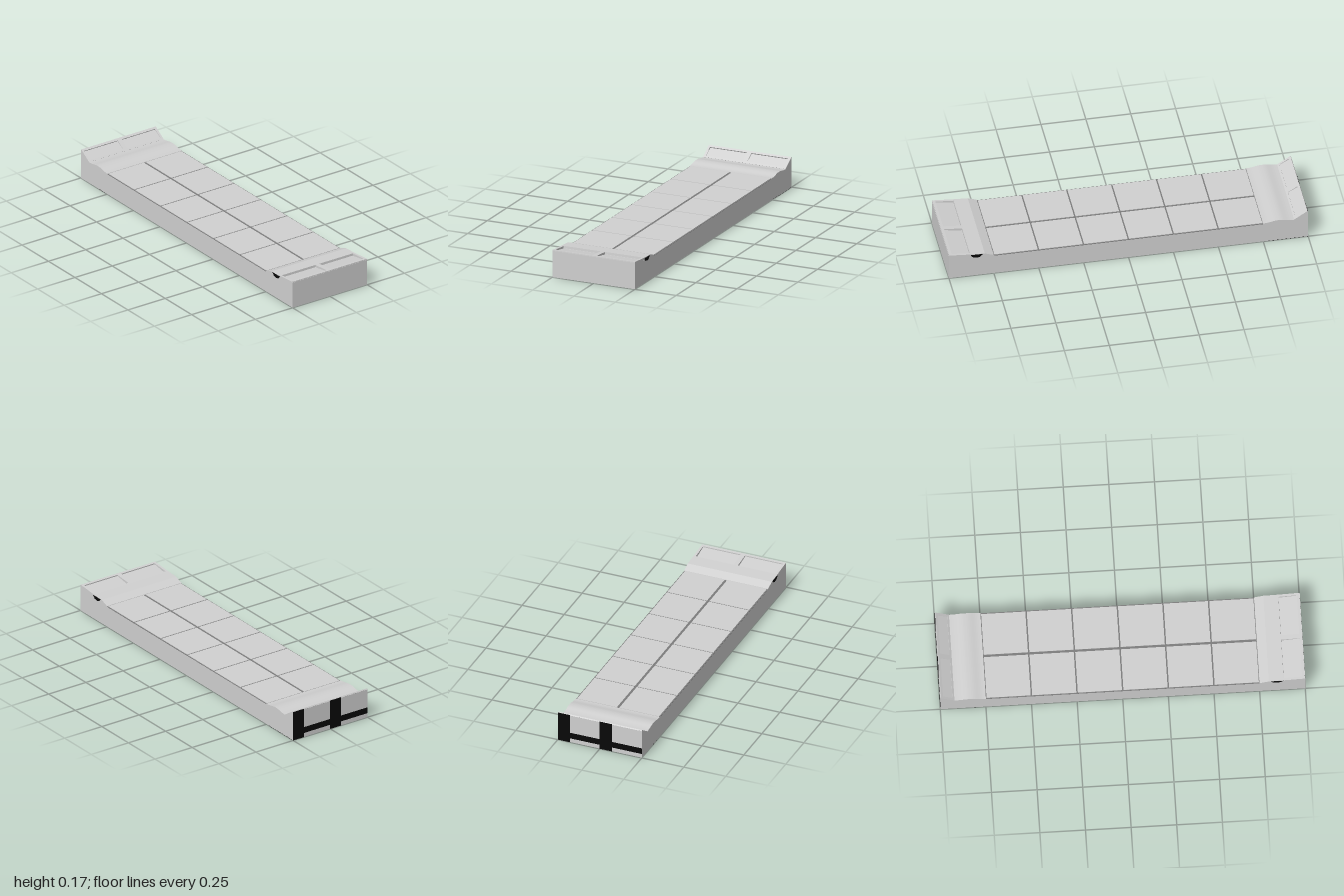
import * as THREE from 'three';

const HALF = 0.25;

export function createModel() {
  const group = new THREE.Group();
  const mat = (name, color) => {
    const m = new THREE.MeshStandardMaterial({ color });
    m.name = name;
    return m;
  };
  const grey = mat('light grey', 0xd0d0d0);
  const seam = mat('seam grey', 0x7c7c7c);
  const black = mat('black', 0x080808);

  const add = (name, geometry, material) => {
    const mesh = new THREE.Mesh(geometry, material);
    mesh.name = name;
    group.add(mesh);
    return mesh;
  };
  // box given by its limits on each axis
  const block = (name, x0, x1, y0, y1, z0, z1, material) => {
    const mesh = add(name, new THREE.BoxGeometry(x1 - x0, y1 - y0, z1 - z0), material);
    mesh.position.set((x0 + x1) / 2, (y0 + y1) / 2, (z0 + z1) / 2);
    return mesh;
  };

  // long body: side profile in (z, y) swept across the width
  const profile = new THREE.Shape();
  profile.moveTo(-0.999, 0.001);
  profile.lineTo(1, 0.001);
  profile.lineTo(1, 0.152);
  profile.lineTo(0.885, 0.134);
  profile.lineTo(0.876, 0.134);
  profile.lineTo(0.875, 0.147);
  profile.lineTo(0.8, 0.143);
  profile.lineTo(0.75, 0.125);
  profile.lineTo(0.749, 0.121);
  profile.lineTo(-0.749, 0.121);
  profile.lineTo(-0.75, 0.125);
  profile.bezierCurveTo(-0.79, 0.125, -0.8, 0.136, -0.84, 0.136);
  profile.bezierCurveTo(-0.87, 0.136, -0.88, 0.127, -0.922, 0.126);
  profile.lineTo(-0.999, 0.168);
  profile.closePath();
  const body = new THREE.ExtrudeGeometry(profile, { depth: 2 * HALF, bevelEnabled: false, curveSegments: 10 });
  body.rotateY(-Math.PI / 2).translate(HALF, 0, 0);
  add('body', body, grey);

  // deck tiles above a dark seam floor
  block('seamFloor', -HALF, HALF, 0.12, 0.122, -0.749, 0.749, seam);
  for (let i = 0; i < 6; i++) {
    const z = -0.75 + i * 0.25;
    for (const side of [-1, 1]) {
      const tile = block('deckTile', 0.007, 0.244, 0.12, 0.125, z + 0.004, z + 0.246, grey);
      tile.position.x *= side;
    }
  }

  // sloping frame with two openings; from and to are [z, y] along its outer face
  const frame = (name, from, to, thickness, lowMargin, highMargin) => {
    const dir = new THREE.Vector3(0, to[1] - from[1], to[0] - from[0]);
    const length = dir.length();
    dir.normalize();
    const shape = new THREE.Shape();
    shape.moveTo(-HALF, 0);
    shape.lineTo(HALF, 0);
    shape.lineTo(HALF, length);
    shape.lineTo(-HALF, length);
    shape.closePath();
    for (const side of [-1, 1]) {
      const hole = new THREE.Path();
      hole.moveTo(side * 0.013, lowMargin);
      hole.lineTo(side * 0.237, lowMargin);
      hole.lineTo(side * 0.237, length - highMargin);
      hole.lineTo(side * 0.013, length - highMargin);
      hole.closePath();
      shape.holes.push(hole);
    }
    const geo = new THREE.ExtrudeGeometry(shape, { depth: thickness, bevelEnabled: false });
    geo.translate(0, 0, -thickness);
    const across = new THREE.Vector3(1, 0, 0);
    const normal = new THREE.Vector3().crossVectors(across, dir);
    geo.applyMatrix4(new THREE.Matrix4().makeBasis(across, dir, normal));
    geo.translate(0, from[1], from[0]);
    add(name, geo, grey);
  };
  frame('backFrame', [-0.922, 0.127], [-0.996, 0.175], 0.007, 0.012, 0.014);
  frame('frontFrame', [0.998, 0.157], [0.875, 0.147], 0.013, 0.015, 0.007);

  // black painted columns and bands on the back and underside
  for (const [x0, x1] of [[0.178, 0.25], [-0.073, 0.002]]) {
    block('backColumn', x0, x1, 0, 0.172, -1, -0.999, black);
    block('underColumn', x0, x1, 0, 0.001, -0.999, -0.84, black);
  }
  block('backBand', -HALF, HALF, 0.025, 0.06, -1, -0.999, black);
  block('underBand', -HALF, HALF, 0, 0.001, -0.84, -0.77, black);

  // black notch marks on both sides, under the front step
  const notch = new THREE.Shape();
  notch.moveTo(0.81, 0.142);
  notch.lineTo(0.825, 0.126);
  notch.lineTo(0.84, 0.121);
  notch.lineTo(0.865, 0.125);
  notch.lineTo(0.88, 0.142);
  notch.closePath();
  for (const side of [-1, 1]) {
    const geo = new THREE.ExtrudeGeometry(notch, { depth: 0.002, bevelEnabled: false });
    geo.rotateY(-Math.PI / 2).translate(side * HALF + 0.001, 0, 0);
    add('sideNotch', geo, black);
  }
  return group;
}
